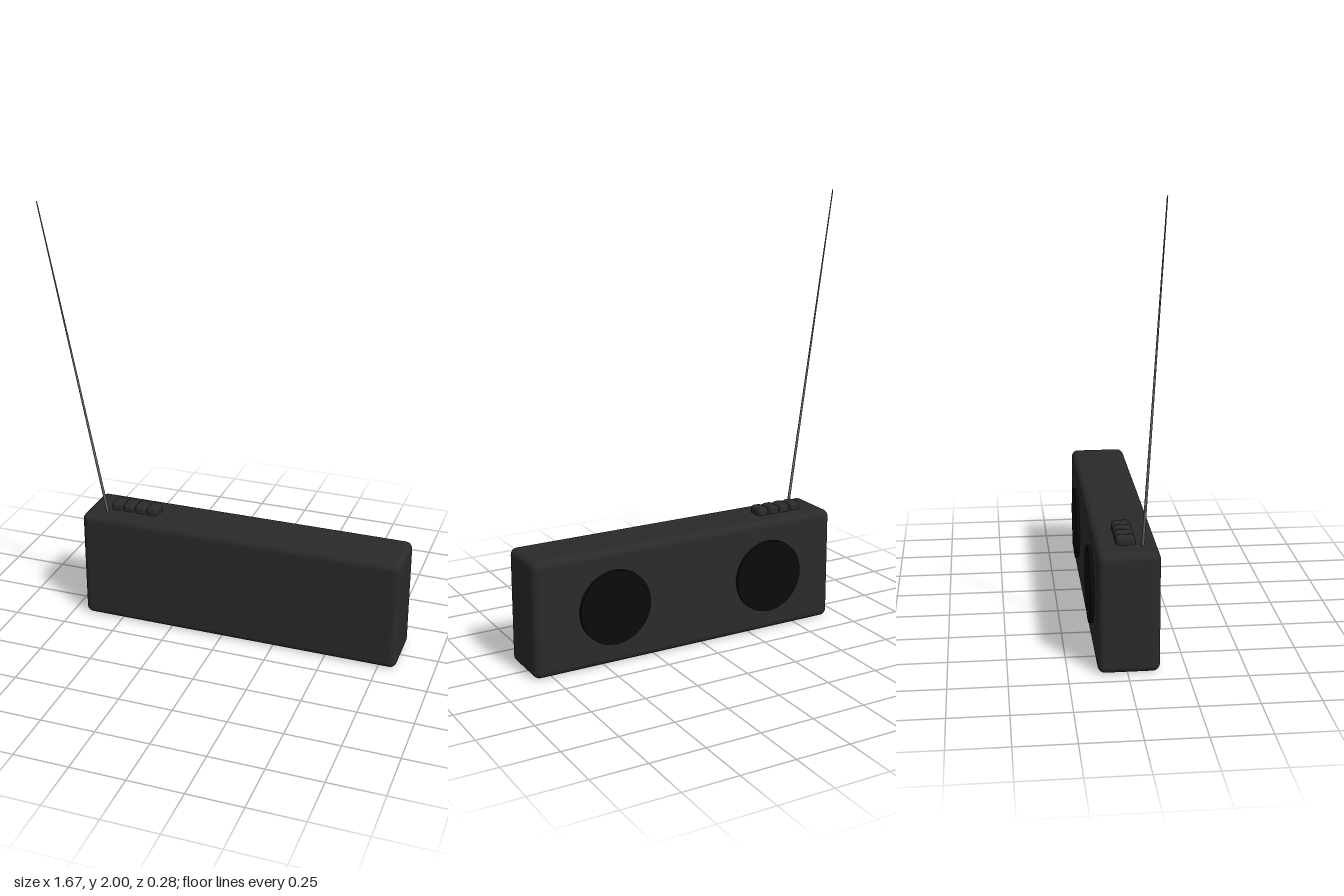
import * as THREE from 'three';
import { RoundedBoxGeometry } from 'three/addons/geometries/RoundedBoxGeometry.js';

export function createModel() {
  const model = new THREE.Group();
  const casing = new THREE.MeshStandardMaterial({ color: 0x2a2a2a });
  const cone = new THREE.MeshStandardMaterial({ color: 0x0a0a0a });
  const metal = new THREE.MeshStandardMaterial({ color: 0x666666 });

  const add = (name, geometry, material, x, y, z) => {
    const mesh = new THREE.Mesh(geometry, material);
    mesh.name = name;
    mesh.position.set(x, y, z);
    model.add(mesh);
    return mesh;
  };

  // Rounded casing
  add('body', new RoundedBoxGeometry(1.52, 0.53, 0.263, 4, 0.032), casing, 0.072, 0.265, 0.0065);

  // Row of push buttons on top
  const button = new RoundedBoxGeometry(0.058, 0.075, 0.083, 3, 0.018);
  for (let i = 0; i < 4; i++) {
    add('button' + (i + 1), button, casing, -0.549 + i * 0.0583, 0.5275, 0.002);
  }

  // Two speaker discs on the back
  const speaker = new THREE.CylinderGeometry(0.17, 0.17, 0.03, 48).rotateX(Math.PI / 2);
  add('speakerRight', speaker, cone, -0.34, 0.268, -0.125);
  add('speakerLeft', speaker, cone, 0.45, 0.268, -0.125);

  // Thin tapered aerial leaning outward and slightly forward
  const base = new THREE.Vector3(-0.58, 0.52, 0.072);
  const tip = new THREE.Vector3(-0.835, 2, 0.125);
  const direction = tip.clone().sub(base);
  const middle = base.clone().add(tip).multiplyScalar(0.5);
  const aerial = add('antenna', new THREE.CylinderGeometry(0.0025, 0.0065, direction.length(), 12),
    metal, middle.x, middle.y, middle.z);
  aerial.quaternion.setFromUnitVectors(new THREE.Vector3(0, 1, 0), direction.normalize());

  return model;
}
